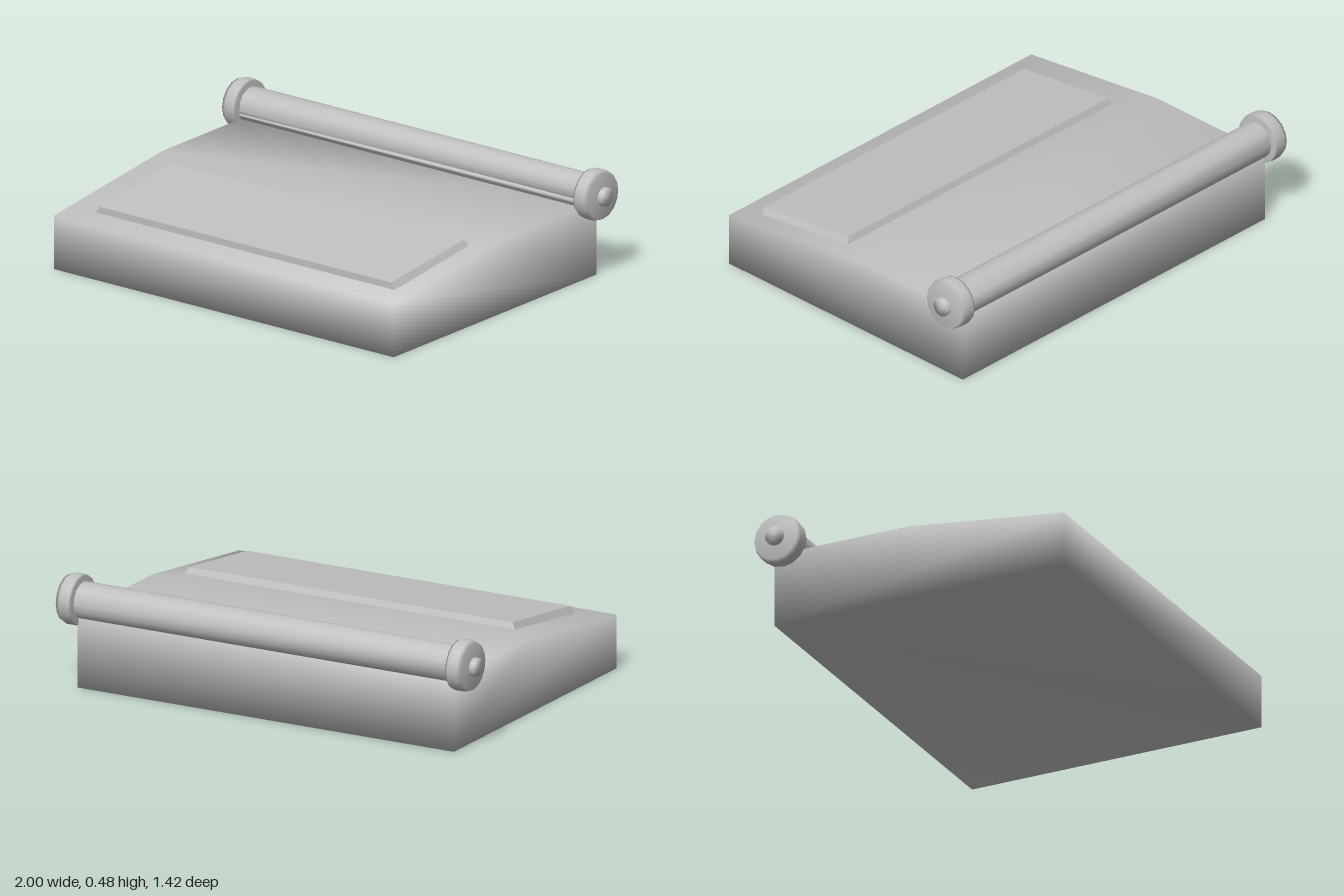
import * as THREE from 'three';
import { mergeVertices } from 'three/addons/utils/BufferGeometryUtils.js';

const grey = new THREE.MeshStandardMaterial({ color: 0xc0c0c0 });
grey.name = 'casing grey';

// Extrude a (z, y) side profile across x; shared corners give soft normals
function softPrism(profile, width) {
  const shape = new THREE.Shape(profile.map(([z, y]) => new THREE.Vector2(z, y)));
  let geo = new THREE.ExtrudeGeometry(shape, { depth: width, bevelEnabled: false, steps: 1 });
  geo.translate(0, 0, -width / 2);
  geo.rotateY(-Math.PI / 2);
  geo.deleteAttribute('normal');
  geo.deleteAttribute('uv');
  geo = mergeVertices(geo, 1e-4);
  geo.computeVertexNormals();
  return geo;
}

function part(name, geo, parent) {
  const mesh = new THREE.Mesh(geo, grey);
  mesh.name = name;
  parent.add(mesh);
  return mesh;
}

// Raised panel: a box whose corners are moved onto the sloping deck
function panelGeometry() {
  const geo = new THREE.BoxGeometry(1, 1, 1).toNonIndexed();
  const p = geo.attributes.position;
  for (let i = 0; i < p.count; i++) {
    const top = p.getY(i) > 0, front = p.getZ(i) > 0, left = p.getX(i) > 0;
    const x = left ? (top ? 0.805 : 0.825) : (top ? -0.75 : -0.77);
    const z = front ? 0.6 : (top ? 0.115 : 0.1);
    const y = top ? (front ? 0.278 : 0.337) : (front ? 0.245 : 0.305);
    p.setXYZ(i, x, y, z);
  }
  geo.computeVertexNormals();
  return geo;
}

export function createModel() {
  const model = new THREE.Group();
  model.name = 'desk machine';

  // Wedge-fronted casing
  part('body', softPrism([
    [-0.643, 0], [0.71, 0], [0.71, 0.235], [-0.015, 0.325], [-0.643, 0.325],
  ], 1.81), model);

  part('frontPanel', panelGeometry(), model);

  // Roller with a narrow paper slot along its front
  const rollerProfile = [[0.066, -0.013], [0.078, -0.01]];
  for (let i = 1; i < 16; i++) {
    const a = i * Math.PI / 8;
    rollerProfile.push([Math.cos(a) * 0.081, Math.sin(a) * 0.08]);
  }
  rollerProfile.push([0.081, -0.022]);
  const roller = part('roller', softPrism(rollerProfile, 1.82), model);
  roller.position.set(0, 0.371, -0.602);

  // Knobs and axle stubs on both ends
  const knobPoints = [[0, 0.9], [0.106, 0.9], [0.109, 0.91], [0.109, 0.955], [0.1, 0.975], [0, 0.978]]
    .map(([r, y]) => new THREE.Vector2(r, y));
  const axlePoints = [[0, 0.9], [0.04, 0.9], [0.04, 0.997], [0, 1]]
    .map(([r, y]) => new THREE.Vector2(r, y));
  for (const side of [1, -1]) {
    const end = new THREE.Group();
    end.name = side > 0 ? 'leftKnob' : 'rightKnob';
    end.position.set(0, 0.371, -0.602);
    end.rotation.y = side > 0 ? 0 : Math.PI;
    part('knob', new THREE.LatheGeometry(knobPoints, 16).rotateZ(-Math.PI / 2), end);
    part('axle', new THREE.LatheGeometry(axlePoints, 16).rotateZ(-Math.PI / 2), end);
    model.add(end);
  }
  return model;
}
